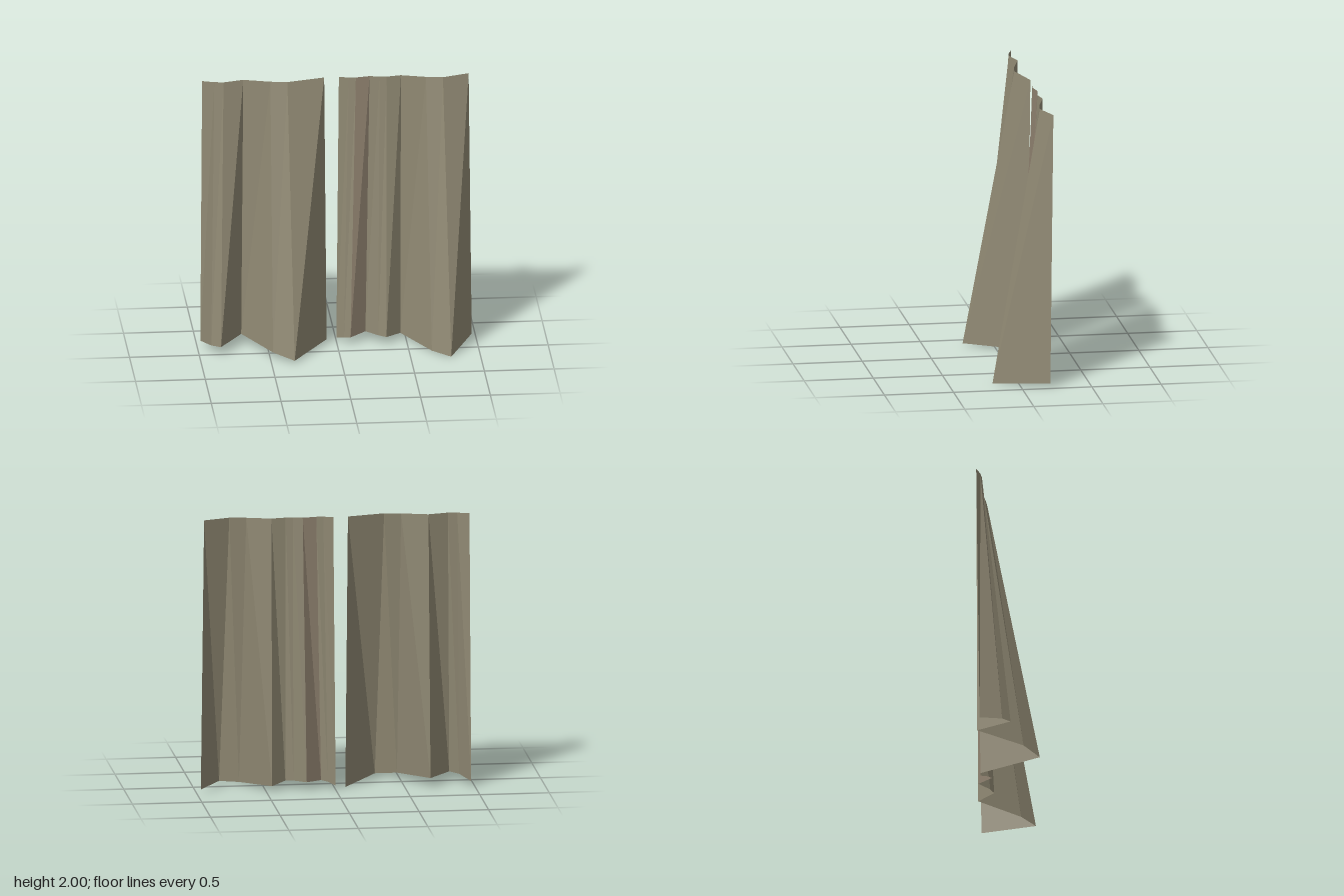
import * as THREE from 'three';

const cloth = new THREE.MeshStandardMaterial({ color: 0x918a74, flatShading: true, side: THREE.DoubleSide });
cloth.name = 'olive cloth';
const warmCloth = new THREE.MeshStandardMaterial({ color: 0x918371, flatShading: true, side: THREE.DoubleSide });
warmCloth.name = 'warm cloth';

const TOP = 2;

// Each fold line: [top x, top z, hem x, hem y, hem z]
const rightFolds = [
  [-0.96, -0.23, -0.975, 0.035, -0.205],
  [-0.875, -0.2, -0.91, 0.055, -0.045],
  [-0.81, -0.19, -0.845, 0.062, 0.015],
  [-0.665, -0.23, -0.68, 0.07, -0.225],
  [-0.475, -0.175, -0.48, 0.043, 0.105],
  [-0.355, -0.157, -0.335, 0.017, 0.22],
  [-0.085, -0.23, -0.07, 0.017, -0.205],
];
const leftFolds = [
  [0.02, -0.23, 0, 0.03, -0.205],
  [0.09, -0.215, 0.05, 0.047, -0.15],
  [0.14, -0.21, 0.095, 0.055, -0.125],
  [0.24, -0.23, 0.21, 0.063, -0.222],
  [0.31, -0.215, 0.295, 0.06, -0.14],
  [0.36, -0.21, 0.35, 0.055, -0.11],
  [0.465, -0.23, 0.46, 0.042, -0.225],
  [0.64, -0.18, 0.66, 0.012, 0.08],
  [0.76, -0.162, 0.79, 0, 0.185],
  [0.95, -0.23, 0.97, 0.028, -0.205],
];

// Pleated sheet spanning neighbouring fold lines
function pleats(name, folds, material) {
  const positions = [];
  const indices = [];
  folds.forEach(([topX, topZ, hemX, hemY, hemZ], i) => {
    positions.push(hemX, hemY, hemZ, topX, TOP, topZ);
    if (i > 0) {
      const a = 2 * (i - 1);
      indices.push(a, a + 2, a + 3, a, a + 3, a + 1);
    }
  });
  const geometry = new THREE.BufferGeometry();
  geometry.setAttribute('position', new THREE.Float32BufferAttribute(positions, 3));
  geometry.setIndex(indices);
  geometry.computeVertexNormals();
  const mesh = new THREE.Mesh(geometry, material);
  mesh.name = name;
  return mesh;
}

export function createModel() {
  const group = new THREE.Group();
  group.name = 'curtains';

  // Right curtain
  group.add(pleats('rightCurtain', rightFolds, cloth));

  // Left curtain, with one warmer pleat near its inner edge
  const leftCurtain = new THREE.Group();
  leftCurtain.name = 'leftCurtain';
  leftCurtain.add(
    pleats('innerPleats', leftFolds.slice(0, 3), cloth),
    pleats('warmPleat', leftFolds.slice(2, 4), warmCloth),
    pleats('outerPleats', leftFolds.slice(3), cloth),
  );
  group.add(leftCurtain);
  return group;
}
